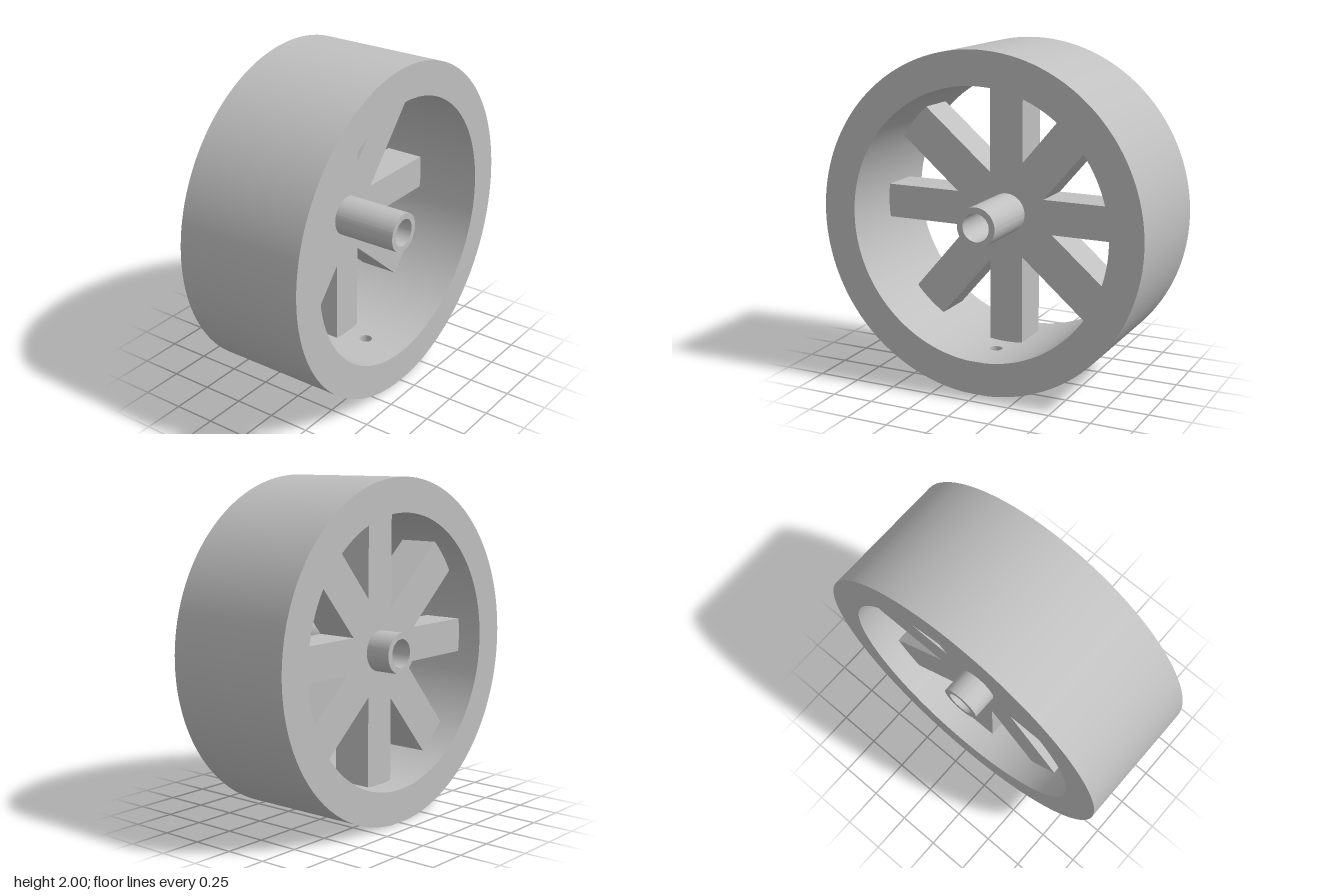
import * as THREE from 'three';
import { toCreasedNormals } from 'three/addons/utils/BufferGeometryUtils.js';

const OUTER = 1, INNER = 0.8, HALF = 0.4;   // rim radii and half width
const PATCH = 0.07;                         // half angle of the drilled rim piece
const HOLE_R = 0.038, HOLE_Z = 0.14;        // drilled hole in the rim

function extrude(shape, z0, z1, curveSegments) {
  const geo = new THREE.ExtrudeGeometry(shape, { depth: z1 - z0, bevelEnabled: false, curveSegments });
  geo.translate(0, 0, z0);
  return toCreasedNormals(geo, 0.5);
}

// Rim ring, left open at the very bottom for the drilled piece
function rimGeometry() {
  const a0 = -Math.PI / 2 + PATCH, a1 = 1.5 * Math.PI - PATCH;
  const s = new THREE.Shape();
  s.absarc(0, 0, OUTER, a0, a1, false);
  s.absarc(0, 0, INNER, a1, a0, true);
  return extrude(s, -HALF, HALF, 128);
}

// Bottom piece of the rim: a flat plate with a hole, bent to the rim's curve
function drilledGeometry() {
  const s = new THREE.Shape();
  s.moveTo(-PATCH, -HALF).lineTo(PATCH, -HALF).lineTo(PATCH, HALF).lineTo(-PATCH, HALF).closePath();
  const hole = new THREE.Path();
  hole.absarc(0, HOLE_Z, HOLE_R, 0, Math.PI * 2, true);
  s.holes.push(hole);
  const geo = toCreasedNormals(new THREE.ExtrudeGeometry(s,
    { depth: OUTER - INNER, bevelEnabled: false, curveSegments: 16 }), 0.6);
  const p = geo.attributes.position, n = geo.attributes.normal;
  for (let i = 0; i < p.count; i++) {
    const r = INNER + p.getZ(i), edge = Math.abs(p.getX(i)) > HOLE_R + 0.01;
    const x = edge ? r * Math.sin(PATCH) * Math.sign(p.getX(i)) : p.getX(i);
    const y = -Math.sqrt(r * r - x * x), cap = n.getZ(i);
    p.setXYZ(i, x, y, p.getY(i));
    if (Math.abs(cap) > 0.5) n.setXYZ(i, Math.sign(cap) * x / r, Math.sign(cap) * y / r, 0);
    else n.setXYZ(i, n.getX(i), 0, n.getY(i));
  }
  return geo;
}

// Spokes as one star outline: each bar has an angle, a width and a sideways offset
function spokesGeometry() {
  const bars = [[0, 0.206, 0], [49.4, 0.236, 0.004], [90, 0.21, 0], [139.6, 0.242, 0.009]];
  const spokes = [...bars, ...bars.map(([a, w, c]) => [a + 180, w, -c])].map(([a, w, c]) => {
    const t = THREE.MathUtils.degToRad(a);
    return { dx: Math.cos(t), dy: Math.sin(t), lo: c - w / 2, hi: c + w / 2 };
  });
  const end = (k, o) => {
    const l = Math.sqrt(0.82 ** 2 - o * o);
    return new THREE.Vector2(k.dx * l - k.dy * o, k.dy * l + k.dx * o);
  };
  const pts = [];
  spokes.forEach((k, i) => {
    const m = spokes[(i + 1) % spokes.length];
    const det = k.dx * m.dy - k.dy * m.dx;
    // inner corner where neighbouring spoke edges meet
    const corner = new THREE.Vector2(
      (k.hi * m.dx - m.lo * k.dx) / det,
      (k.hi * m.dy - m.lo * k.dy) / det);
    pts.push(end(k, k.lo), end(k, k.hi), corner);
  });
  const s = new THREE.Shape(pts);
  s.holes.push(new THREE.Path().absarc(0, 0, 0.1, 0, Math.PI * 2, true));
  return extrude(s, -0.245, 0, 24);
}

// Axle tube across the full width
function tubeGeometry() {
  const s = new THREE.Shape();
  s.absarc(0, 0, 0.119, 0, Math.PI * 2, false);
  s.holes.push(new THREE.Path().absarc(0, 0, 0.083, 0, Math.PI * 2, true));
  return extrude(s, -HALF, HALF, 48);
}

export function createModel() {
  const grey = new THREE.MeshStandardMaterial({ color: 0xc0c0c0 });
  grey.name = 'lightGrey';
  const wheel = new THREE.Group();
  wheel.name = 'wheel';
  const parts = {
    rim: rimGeometry(), drilledRimPiece: drilledGeometry(),
    spokes: spokesGeometry(), axleTube: tubeGeometry(),
  };
  for (const [name, geo] of Object.entries(parts)) {
    const mesh = new THREE.Mesh(geo, grey);
    mesh.name = name;
    mesh.position.y = OUTER;
    wheel.add(mesh);
  }
  return wheel;
}
